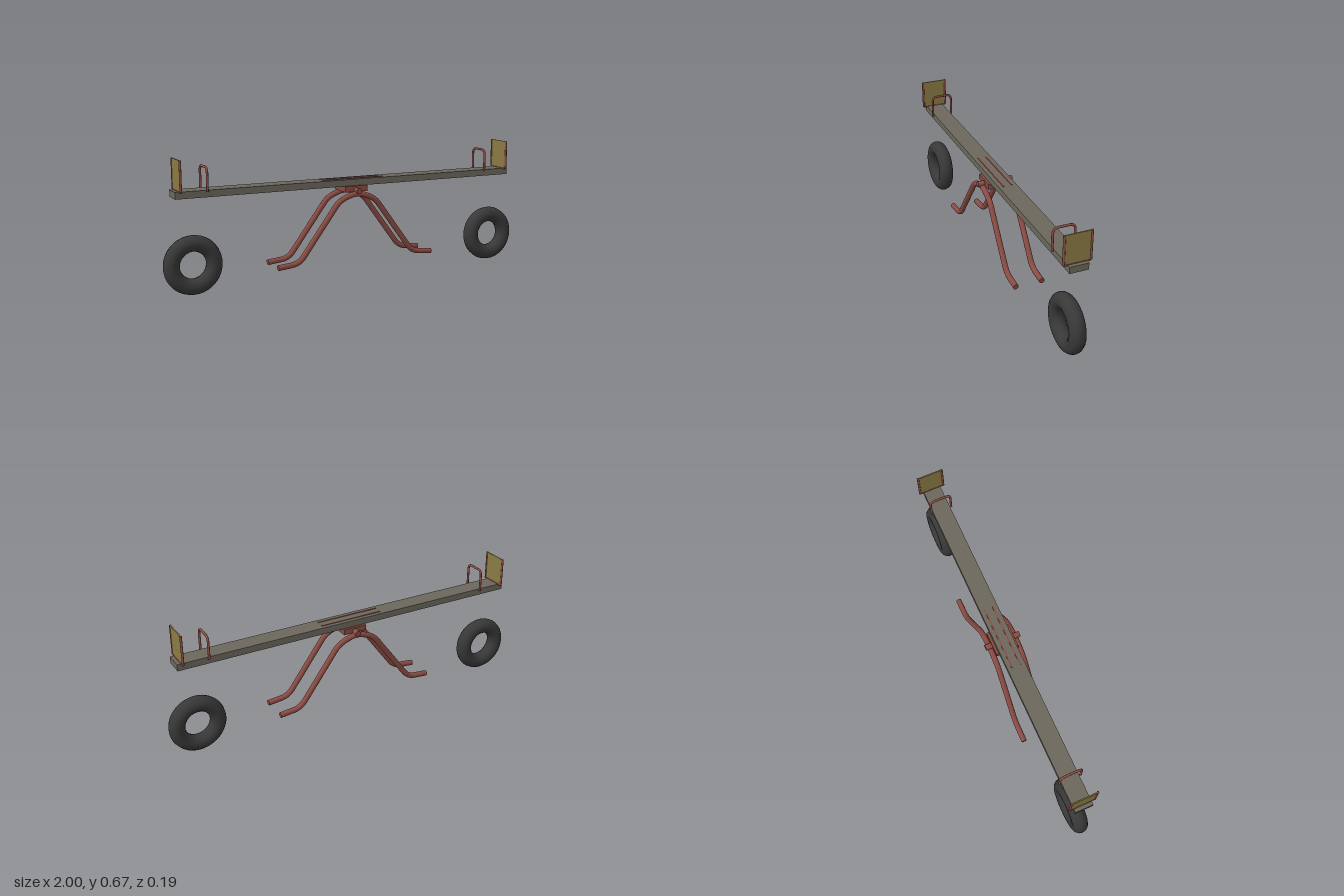
import * as THREE from 'three';

const V = (x, y, z) => new THREE.Vector3(x, y, z);

// Round pipe through corner points, each corner softened by a bend
function pipe(points, radius, bend, segments) {
  const path = new THREE.CurvePath();
  let from = points[0];
  for (let i = 1; i < points.length - 1; i++) {
    const p = points[i];
    const a = p.clone().add(points[i - 1].clone().sub(p).setLength(bend));
    const b = p.clone().add(points[i + 1].clone().sub(p).setLength(bend));
    path.add(new THREE.LineCurve3(from, a));
    path.add(new THREE.QuadraticBezierCurve3(a, p, b));
    from = b;
  }
  path.add(new THREE.LineCurve3(from, points[points.length - 1]));
  return { path, geometry: new THREE.TubeGeometry(path, segments, radius, 12) };
}

export function createModel() {
  const paint = new THREE.MeshStandardMaterial({ color: 0x8a4b43 });
  paint.name = 'worn red paint';
  const wood = new THREE.MeshStandardMaterial({ color: 0x6b675c });
  wood.name = 'weathered wood';
  const board = new THREE.MeshStandardMaterial({ color: 0x8a7a43 });
  board.name = 'yellow board';
  const rubber = new THREE.MeshStandardMaterial({ color: 0x383838 });
  rubber.name = 'black rubber';

  const model = new THREE.Group();
  model.name = 'seesaw';

  function add(name, geometry, material, x = 0, y = 0, z = 0) {
    const mesh = new THREE.Mesh(geometry, material);
    mesh.name = name;
    mesh.position.set(x, y, z);
    model.add(mesh);
    return mesh;
  }
  const box = (name, material, w, h, d, x, y, z) =>
    add(name, new THREE.BoxGeometry(w, h, d), material, x, y, z);

  function addPipe(name, points, radius, bend, segments) {
    const { path, geometry } = pipe(points, radius, bend, segments);
    add(name, geometry, paint);
    // flat caps closing both ends
    for (const t of [0, 1]) {
      const p = path.getPointAt(t);
      const out = path.getTangentAt(t).multiplyScalar(t ? 1 : -1);
      const cap = add(name + 'Cap', new THREE.CircleGeometry(radius, 12), paint, p.x, p.y, p.z);
      cap.quaternion.setFromUnitVectors(V(0, 0, 1), out);
    }
  }

  // Plank and the two thin strips fixed on top of it
  box('plank', wood, 1.886, 0.034, 0.094, 0, 0.498, 0);
  for (const s of [-1, 1]) {
    box('plankStrip', paint, 0.34, 0.006, 0.007, 0, 0.515, s * 0.022);
  }

  // Pivot block and axle
  box('pivotBlock', paint, 0.126, 0.03, 0.12, 0, 0.467, 0);
  add('axle', new THREE.CylinderGeometry(0.015, 0.015, 0.188, 16), paint, 0, 0.459, 0)
    .rotation.x = Math.PI / 2;

  // Bent leg frames, one on each side of the plank
  for (const s of [-1, 1]) {
    const z = s * 0.07;
    addPipe('legFrame', [
      V(-0.44, 0.101, z), V(-0.325, 0.112, z), V(-0.1, 0.415, z), V(0, 0.45, z),
      V(0.1, 0.415, z), V(0.325, 0.112, z), V(0.44, 0.101, z),
    ], 0.0145, 0.042, 96);
  }

  for (const s of [-1, 1]) {
    // Handle arch
    const hx = s * 0.787;
    addPipe('handle', [
      V(hx, 0.508, -0.055), V(hx, 0.624, -0.055), V(hx, 0.624, 0.055), V(hx, 0.508, 0.055),
    ], 0.006, 0.028, 40);

    // Backrest board with its side rails and bottom bar
    const bx = s * 0.92;
    box('backrest', board, 0.006, 0.15, 0.124, bx, 0.59, 0);
    for (const side of [-1, 1]) {
      add('backrestRail', new THREE.CylinderGeometry(0.006, 0.006, 0.15, 12), paint, bx, 0.59, side * 0.066);
    }
    add('backrestBar', new THREE.CylinderGeometry(0.005, 0.005, 0.13, 12), paint, bx, 0.514, 0)
      .rotation.x = Math.PI / 2;

    // Half-buried landing tyre
    add('tyre', new THREE.TorusGeometry(0.107, 0.0405, 14, 40), rubber, s * 0.8525, 0.1475, 0);
  }

  return model;
}
